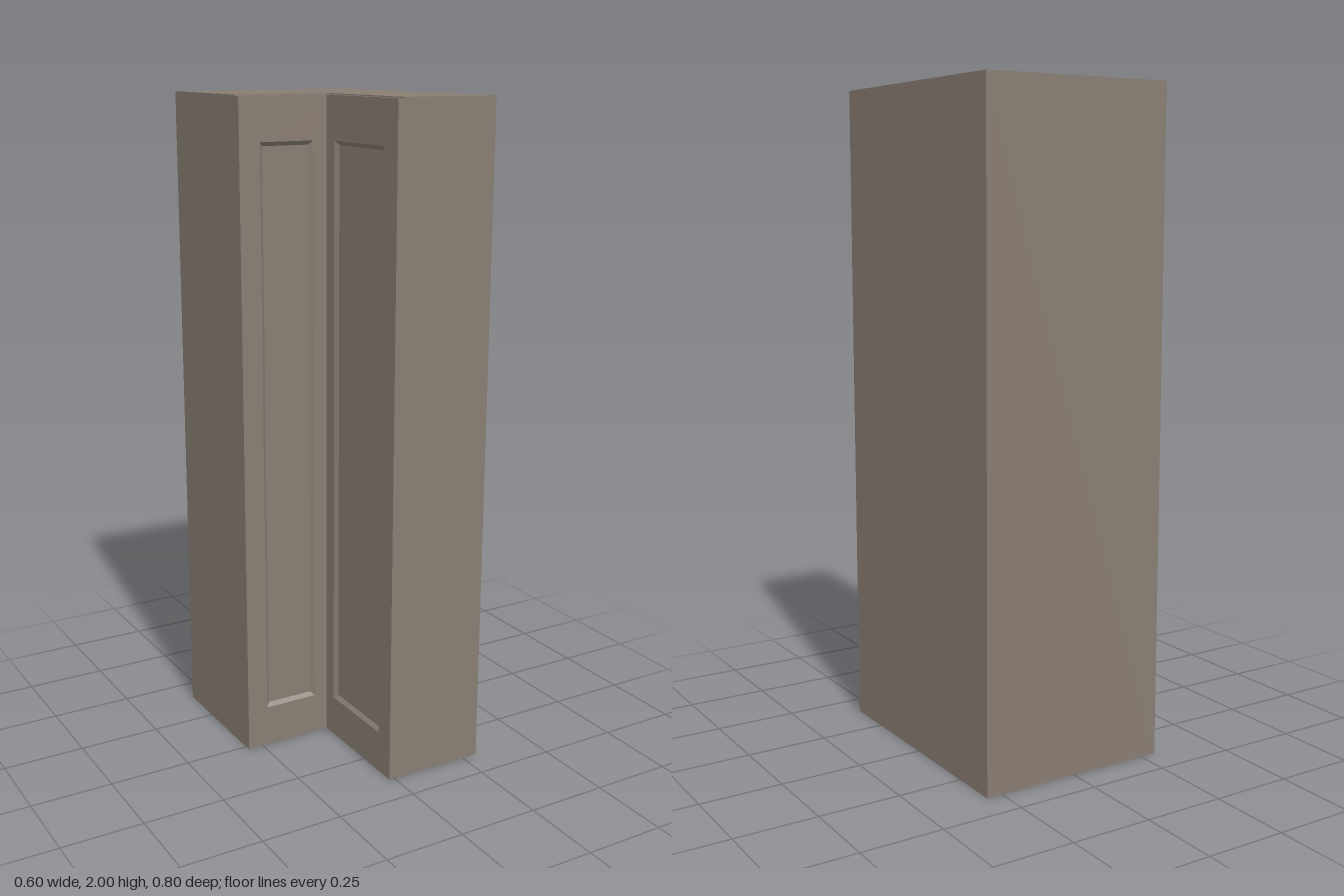
import * as THREE from 'three';

const material = new THREE.MeshStandardMaterial({ color: 0x887d73, flatShading: true });
const H = 2, GAP = 0.003, THICK = 0.021;

// Door slab with a bevelled, recessed panel, skinned through rectangular loops (front faces +z)
function doorGeometry(w, h) {
  const margin = 0.065, side = 0.127, bevel = 0.012, depth = 0.01;
  const loops = [
    [w / 2, h / 2, 0],
    [w / 2, h / 2, THICK],
    [w / 2 - margin, h / 2 - side, THICK],
    [w / 2 - margin - bevel, h / 2 - side - bevel, THICK - depth],
  ];
  const pos = [], idx = [];
  for (const [a, b, z] of loops) pos.push(-a, -b, z, a, -b, z, a, b, z, -a, b, z);
  for (let l = 0; l < loops.length - 1; l++) {
    for (let i = 0; i < 4; i++) {
      const j = (i + 1) % 4, p = l * 4, q = p + 4;
      idx.push(p + i, p + j, q + j, p + i, q + j, q + i);
    }
  }
  const c = (loops.length - 1) * 4;
  idx.push(c, c + 1, c + 2, c, c + 2, c + 3); // recessed panel
  idx.push(0, 2, 1, 0, 3, 2); // back
  const g = new THREE.BufferGeometry();
  g.setAttribute('position', new THREE.Float32BufferAttribute(pos, 3));
  g.setIndex(idx);
  const flat = g.toNonIndexed();
  flat.computeVertexNormals();
  return flat;
}

export function createModel() {
  const group = new THREE.Group();
  group.name = 'cornerCabinet';
  const add = (name, geometry) => {
    const mesh = new THREE.Mesh(geometry, material);
    mesh.name = name;
    group.add(mesh);
    return mesh;
  };

  // L-shaped carcass: plan drawn as (x, -z), then extruded upward
  const plan = [[-0.3, -0.4], [-0.3, 0.002], [0.002, 0.002], [0.002, 0.4], [0.3, 0.4], [0.3, -0.4]];
  const shape = new THREE.Shape(plan.map(([x, z]) => new THREE.Vector2(x, -z)));
  const carcass = new THREE.ExtrudeGeometry(shape, { depth: H, bevelEnabled: false });
  carcass.rotateX(-Math.PI / 2);
  add('carcass', carcass);

  // Doors lining the two faces of the inner corner
  const doorHeight = H - 2 * GAP;
  const frontDoor = add('frontDoor', doorGeometry(0.302, doorHeight));
  frontDoor.position.set(-0.149, H / 2, 0.002);

  const sideDoor = add('sideDoor', doorGeometry(0.398, doorHeight));
  sideDoor.rotation.y = -Math.PI / 2;
  sideDoor.position.set(0.002, H / 2, 0.201);

  return group;
}
